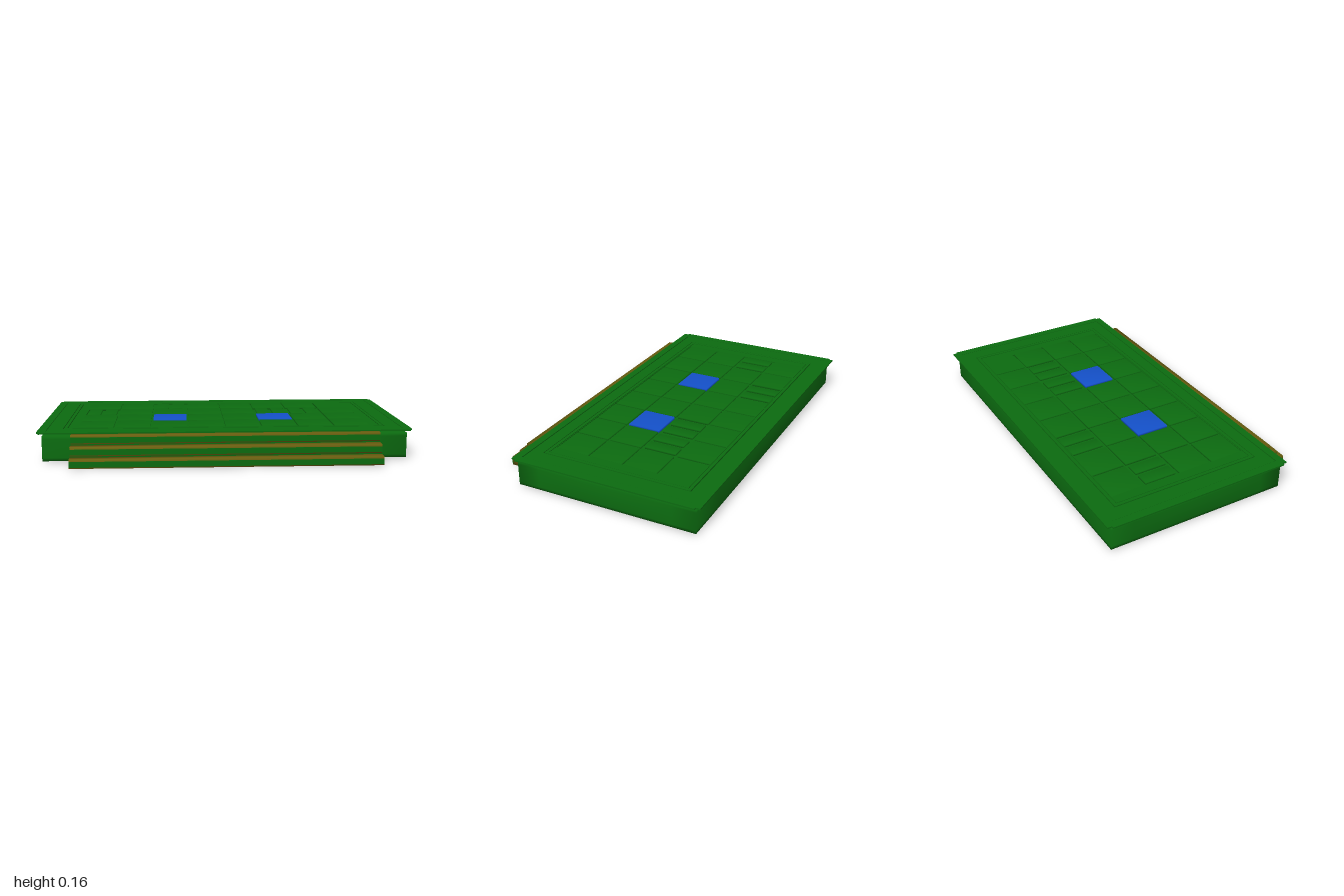
import * as THREE from 'three';
import { mergeVertices } from 'three/addons/utils/BufferGeometryUtils.js';

const mat = (color) => new THREE.MeshStandardMaterial({ color });

// Box with shared corners (soft shading) whose faces swell outward by `bulge`
function pillow(w, h, d, bulge = 0, n = 1) {
  let g = new THREE.BoxGeometry(w, h, d, n, n, n);
  g.deleteAttribute('normal');
  g.deleteAttribute('uv');
  g = mergeVertices(g);
  const p = g.attributes.position;
  for (let i = 0; i < p.count; i++) {
    const u = p.getX(i) / w * 2, v = p.getY(i) / h * 2, t = p.getZ(i) / d * 2;
    const swell = (a, b, c) => a * bulge * (1 - b * b) * (1 - c * c);
    p.setXYZ(i, p.getX(i) + swell(u, v, t), p.getY(i) + swell(v, u, t), p.getZ(i) + swell(t, u, v));
  }
  g.computeVertexNormals();
  return g;
}

// Horizontal plate with an optional rectangular opening and notched corners
function frame(x, z, openX, openZ, height, notch = 0) {
  const n = notch;
  const s = new THREE.Shape([
    [-x + n, -z], [x - n, -z], [x - n, -z + 2 * n], [x, -z + 2 * n], [x, z - 2 * n], [x - n, z - 2 * n],
    [x - n, z], [-x + n, z], [-x + n, z - 2 * n], [-x, z - 2 * n], [-x, -z + 2 * n], [-x + n, -z + 2 * n],
  ].map(([a, b]) => new THREE.Vector2(a, b)));
  s.holes.push(new THREE.Path([[-openX, -openZ], [-openX, openZ], [openX, openZ], [openX, -openZ]]
    .map(([a, b]) => new THREE.Vector2(a, b))));
  const g = new THREE.ExtrudeGeometry(s, { depth: height, bevelEnabled: false });
  return g.rotateX(-Math.PI / 2);
}

export function createModel() {
  const model = new THREE.Group();
  const green = mat(0x0c6b10), blue = mat(0x1450c8), olive = mat(0x6b5f10);
  const add = (name, geometry, material, x, y, z, parent = model) => {
    const m = new THREE.Mesh(geometry, material);
    m.name = name;
    m.position.set(x, y, z);
    parent.add(m);
    return m;
  };

  // Swollen platform body
  add('platformBase', pillow(1.945, 0.134, 1.008, 0.006, 8), green, 0, 0.076, -0.068);

  // Thin overhanging deck with a stepped border around the tile field
  add('deckRim', frame(1, 0.53, 0.955, 0.49, 0.008, 0.012), green, 0, 0.157, -0.07);
  add('deckBorder', frame(0.953, 0.488, 0.872, 0.422, 0.007), green, 0, 0.157, -0.073);
  add('innerBorder', frame(0.867, 0.417, 0.85, 0.4, 0.008), green, 0, 0.157, -0.073);
  add('tileSurround', frame(0.846, 0.397, 0.792, 0.393, 0.007), green, 0, 0.157, -0.073);

  // Floor under the tiles
  add('tileBed', new THREE.BoxGeometry(1.69, 0.012, 0.79), green, 0, 0.149, -0.073);

  // Tile field: four rows of eight; some tiles are split into bars, one is flat
  const tiles = new THREE.Group();
  tiles.name = 'tiles';
  model.add(tiles);
  const split = ['0,2', '1,0', '1,5', '1,6'];
  const tileGeo = pillow(0.188, 0.016, 0.184);
  const barGeo = pillow(0.072, 0.016, 0.178);
  for (let row = 0; row < 4; row++) {
    for (let col = 0; col < 8; col++) {
      const x = -0.7 + col * 0.2, z = -0.375 + row * 0.199;
      const key = `${row},${col}`;
      if (key === '0,7') {
        add('flatTile', new THREE.BoxGeometry(0.19, 0.012, 0.19), green, x, 0.158, z, tiles);
      } else if (split.includes(key)) {
        for (const s of [-1, 1]) add('tileBar', barGeo, green, x + s * 0.047, 0.158, z, tiles);
      } else {
        const isBlue = row === 2 && (col === 2 || col === 5);
        add(isBlue ? 'blueTile' : 'tile', tileGeo, isBlue ? blue : green, x, isBlue ? 0.16 : 0.158, z, tiles);
      }
    }
  }

  // Three floating front steps, each an olive tread with a green riser
  for (let i = 0; i < 3; i++) {
    const step = new THREE.Group();
    step.name = 'step' + (i + 1);
    step.position.set(0, 0.028 + i * 0.053, 0.572 - i * 0.053);
    model.add(step);
    add('tread', pillow(1.63, 0.048, 0.05), olive, 0, 0, 0, step);
    add('riser', new THREE.BoxGeometry(1.63, 0.03, 0.004), green, 0, -0.003, 0.025, step);
  }
  return model;
}
